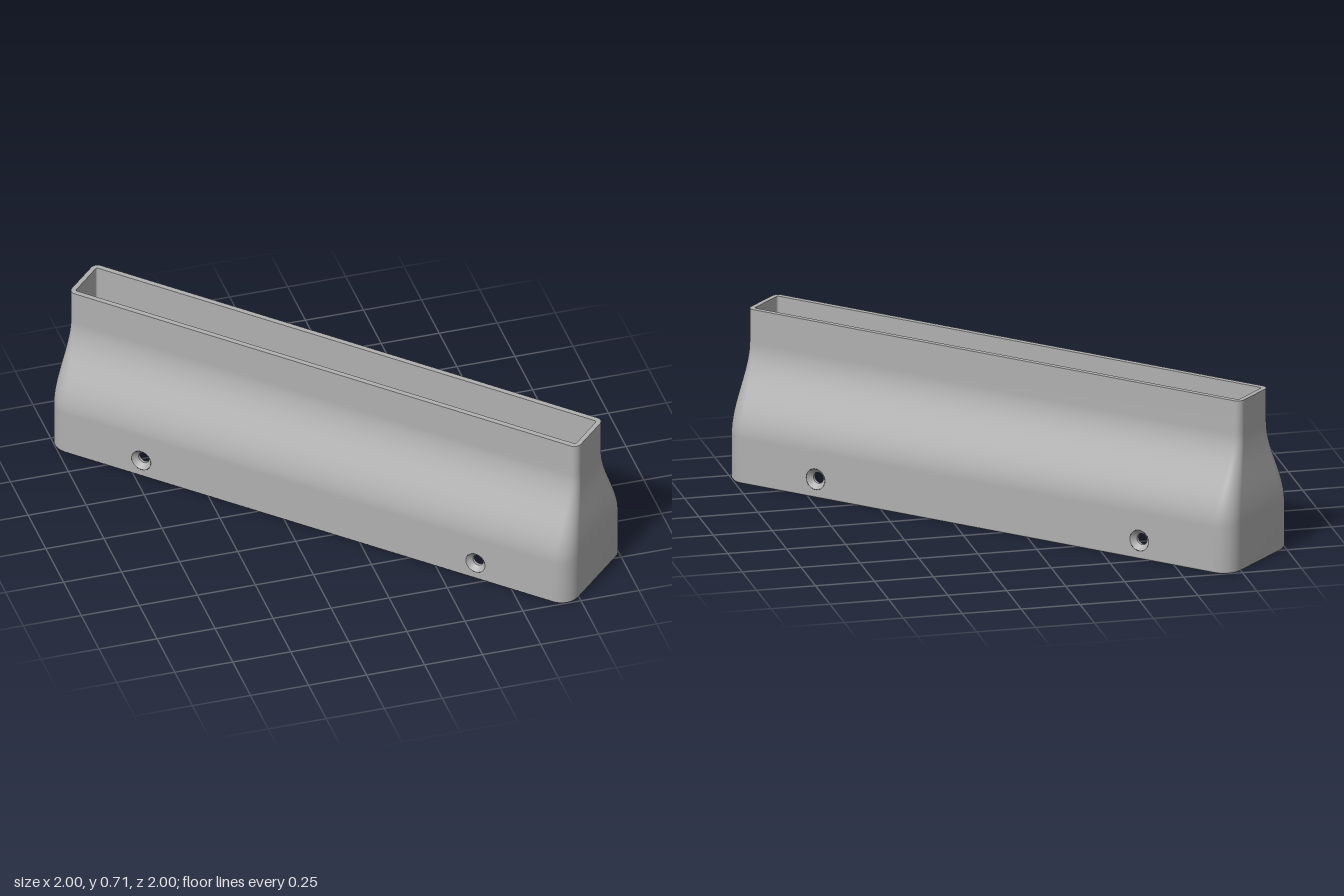
import * as THREE from 'three';

const ARC = 10; // segments per rounded corner
const ROW = 4 * (ARC + 1);

// Rounded rectangle ring: half length, half width, corner radius, height
function ring(l, w, r, y) {
  const pts = [];
  [[1, 1], [-1, 1], [-1, -1], [1, -1]].forEach(([sx, sz], k) => {
    for (let i = 0; i <= ARC; i++) {
      const a = (k + i / ARC) * Math.PI / 2;
      pts.push(sx * (l - r) + r * Math.cos(a), y, sz * (w - r) + r * Math.sin(a));
    }
  });
  return pts;
}

// Skin a list of rings; openBand leaves its two long flat sides empty
function loft(rings, openBand = -1) {
  const geo = new THREE.BufferGeometry();
  geo.setAttribute('position', new THREE.Float32BufferAttribute(rings.flat(), 3));
  const all = [], kept = [];
  for (let i = 0; i < rings.length - 1; i++) {
    for (let j = 0; j < ROW; j++) {
      const a = i * ROW + j, b = i * ROW + (j + 1) % ROW, c = a + ROW, d = b + ROW;
      const quad = [a, c, b, b, c, d];
      all.push(...quad);
      const longSide = j % (2 * (ARC + 1)) === ARC;
      if (!(i === openBand && longSide)) kept.push(...quad);
    }
  }
  geo.setIndex(all);
  geo.computeVertexNormals();
  geo.setIndex(kept);
  return geo;
}

// Flat wall panel with two round screw holes
function panel(halfLength, y0, y1, holeX, holeY, r) {
  const s = new THREE.Shape();
  s.moveTo(-halfLength, y0).lineTo(halfLength, y0).lineTo(halfLength, y1).lineTo(-halfLength, y1).closePath();
  for (const x of [-holeX, holeX]) {
    s.holes.push(new THREE.Path().absarc(x, holeY, r, 0, Math.PI * 2, true));
  }
  return new THREE.ShapeGeometry(s, 24);
}

export function createModel() {
  const group = new THREE.Group();
  const grey = new THREE.MeshStandardMaterial({ color: 0xb0b0b0 });
  grey.name = 'grey';
  const add = (name, geo, parent = group) => {
    const m = new THREE.Mesh(geo, grey);
    m.name = name;
    parent.add(m);
    return m;
  };

  const H = 0.715, LEDGE = 0.14, FLAT = 0.2;
  const mix = THREE.MathUtils.lerp;
  const outer = (y) => {
    const t = THREE.MathUtils.smoothstep(y, FLAT, 0.57);
    return ring(mix(1.22, 1.188, t), mix(0.243, 0.115, t), mix(0.08, 0.03, t), y);
  };
  const inner = (y) => {
    const t = THREE.MathUtils.smoothstep(y, FLAT, 0.55);
    return ring(mix(1.172, 1.167, t), mix(0.15, 0.092, t), mix(0.04, 0.008, t), y);
  };
  const cavity = (y) => ring(1.185, 0.208, 0.045, y);
  const foot = ring(1.214, 0.237, 0.074, 0);

  // Flared heights shared by the outer and inner skins
  const heights = [FLAT];
  for (let i = 1; i <= 18; i++) heights.push(FLAT + 0.37 * i / 18);
  heights.push(H);

  add('outerShell', loft([foot, outer(0.008), ...heights.map(outer)], 1));
  add('topRim', loft([outer(H), inner(H)]));
  add('innerThroat', loft([...heights.map(inner).reverse(), inner(LEDGE)]));
  add('innerLedge', loft([inner(LEDGE), cavity(LEDGE)]));
  add('lowerSocket', loft([cavity(LEDGE), cavity(0)], 0));
  add('bottomRim', loft([cavity(0), foot]));

  // Long side walls with countersunk screw holes
  const holeX = 0.78, holeY = 0.08, big = 0.045, small = 0.024;
  for (const side of [0, 1]) {
    const wall = new THREE.Group();
    wall.name = side ? 'backWall' : 'frontWall';
    wall.rotation.y = side * Math.PI;
    group.add(wall);
    add('outerPanel', panel(1.14, 0.008, FLAT, holeX, holeY, big).translate(0, 0, 0.243), wall);
    add('innerPanel', panel(1.14, 0, LEDGE, holeX, holeY, small).rotateY(Math.PI).translate(0, 0, 0.208), wall);
    for (const x of [-holeX, holeX]) {
      const cone = [[big, 0.243], [small, 0.221]];
      const bore = [[small, 0.221], [small, 0.208]];
      [cone, bore].forEach((p, i) => {
        const geo = new THREE.LatheGeometry(p.map(([r, d]) => new THREE.Vector2(r, d)), 24);
        add(i ? 'screwBore' : 'countersink', geo.rotateX(Math.PI / 2).translate(x, holeY, 0), wall);
      });
    }
  }

  // The duct lies along the diagonal
  group.rotation.y = -Math.PI / 4;
  const root = new THREE.Group();
  root.name = 'ductAdapter';
  root.add(group);
  group.name = 'duct';
  return root;
}
